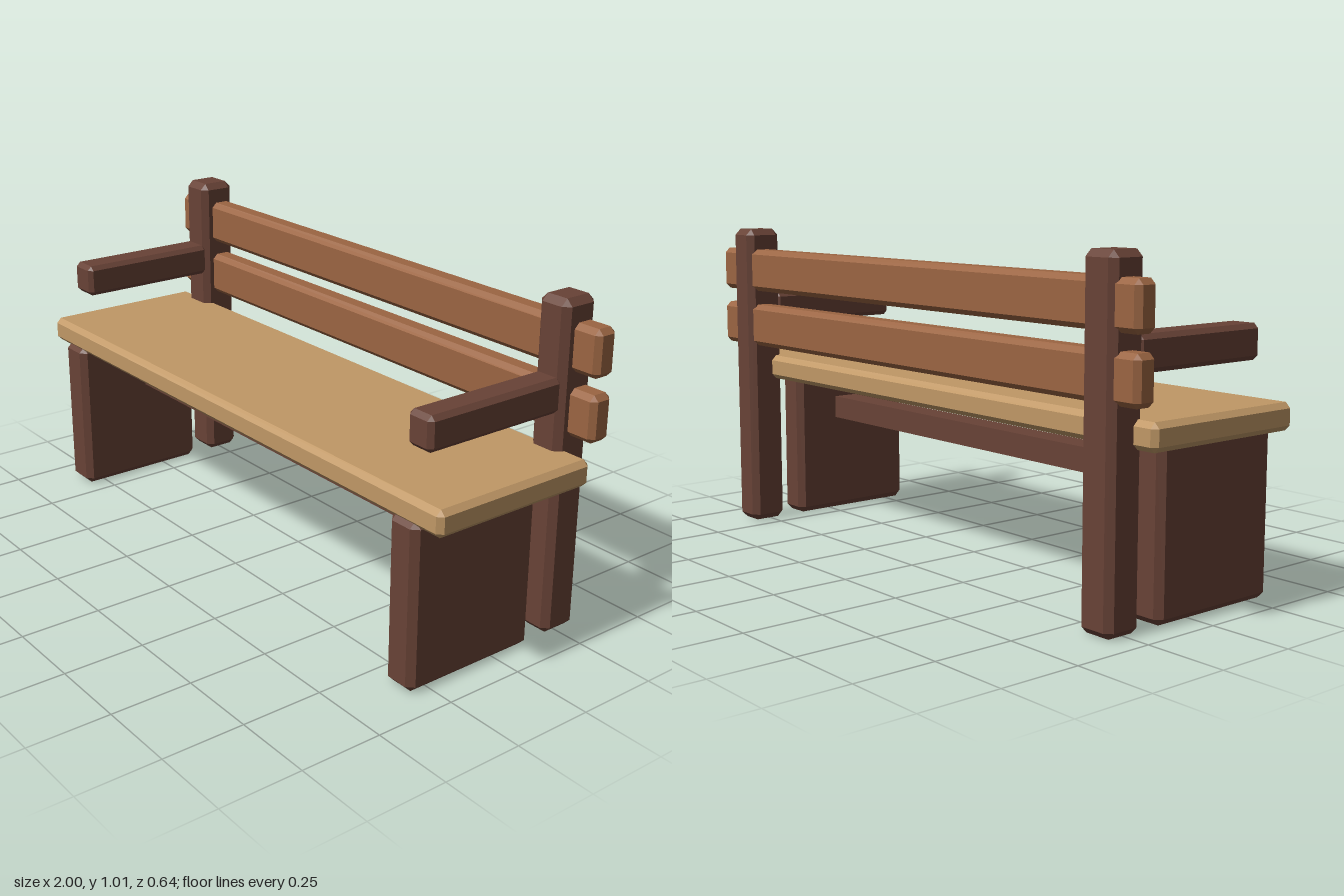
import * as THREE from 'three';
import { ConvexGeometry } from 'three/addons/geometries/ConvexGeometry.js';

// Box between two corners with every edge chamfered by b
function chamferBox(min, max, b) {
  const c = min.map((v, i) => (v + max[i]) / 2);
  const h = min.map((v, i) => (max[i] - v) / 2);
  const points = [];
  for (const sx of [-1, 1]) for (const sy of [-1, 1]) for (const sz of [-1, 1]) {
    const s = [sx, sy, sz];
    for (let axis = 0; axis < 3; axis++) {
      const p = s.map((sign, i) => c[i] + sign * (h[i] - (i === axis ? 0 : b)));
      points.push(new THREE.Vector3(...p));
    }
  }
  return new ConvexGeometry(points);
}

export function createModel() {
  const darkWood = new THREE.MeshStandardMaterial({ name: 'darkWood', color: 0x684236 });
  const slatWood = new THREE.MeshStandardMaterial({ name: 'slatWood', color: 0x9b6542 });
  const seatWood = new THREE.MeshStandardMaterial({ name: 'seatWood', color: 0xc09866 });

  const bench = new THREE.Group();
  bench.name = 'bench';
  const plank = (name, material, min, max, bevel) => {
    const mesh = new THREE.Mesh(chamferBox(min, max, bevel), material);
    mesh.name = name;
    bench.add(mesh);
  };

  // Seat board
  plank('seat', seatWood, [-1, 0.495, -0.24], [1, 0.575, 0.315], 0.016);

  // Two backrest slats
  for (const [name, y] of [['lowerBackSlat', 0.615], ['upperBackSlat', 0.802]]) {
    plank(name, slatWood, [-1, y, -0.307], [1, y + 0.14, -0.232], 0.016);
  }

  // Each end: wide leg panel, tall back post and armrest; the right end is slightly thicker
  const ends = [
    { side: 'right', post: [-0.925, -0.805], arm: [-0.915, -0.812] },
    { side: 'left', post: [0.803, 0.913], arm: [0.812, 0.905] },
  ];
  for (const { side, post, arm } of ends) {
    plank(side + 'LegPanel', darkWood, [post[0], 0, -0.132], [post[1], 0.51, 0.32], 0.02);
    plank(side + 'BackPost', darkWood, [post[0], 0, -0.32], [post[1], 1.01, -0.197], 0.02);
    plank(side + 'Armrest', darkWood, [arm[0], 0.687, -0.21], [arm[1], 0.79, 0.27], 0.014);
  }

  // Square-edged stretcher between the leg panels
  const stretcher = new THREE.Mesh(new THREE.BoxGeometry(1.555, 0.075, 0.085), darkWood);
  stretcher.name = 'stretcher';
  stretcher.position.set(-0.002, 0.375, 0.045);
  bench.add(stretcher);

  return bench;
}
